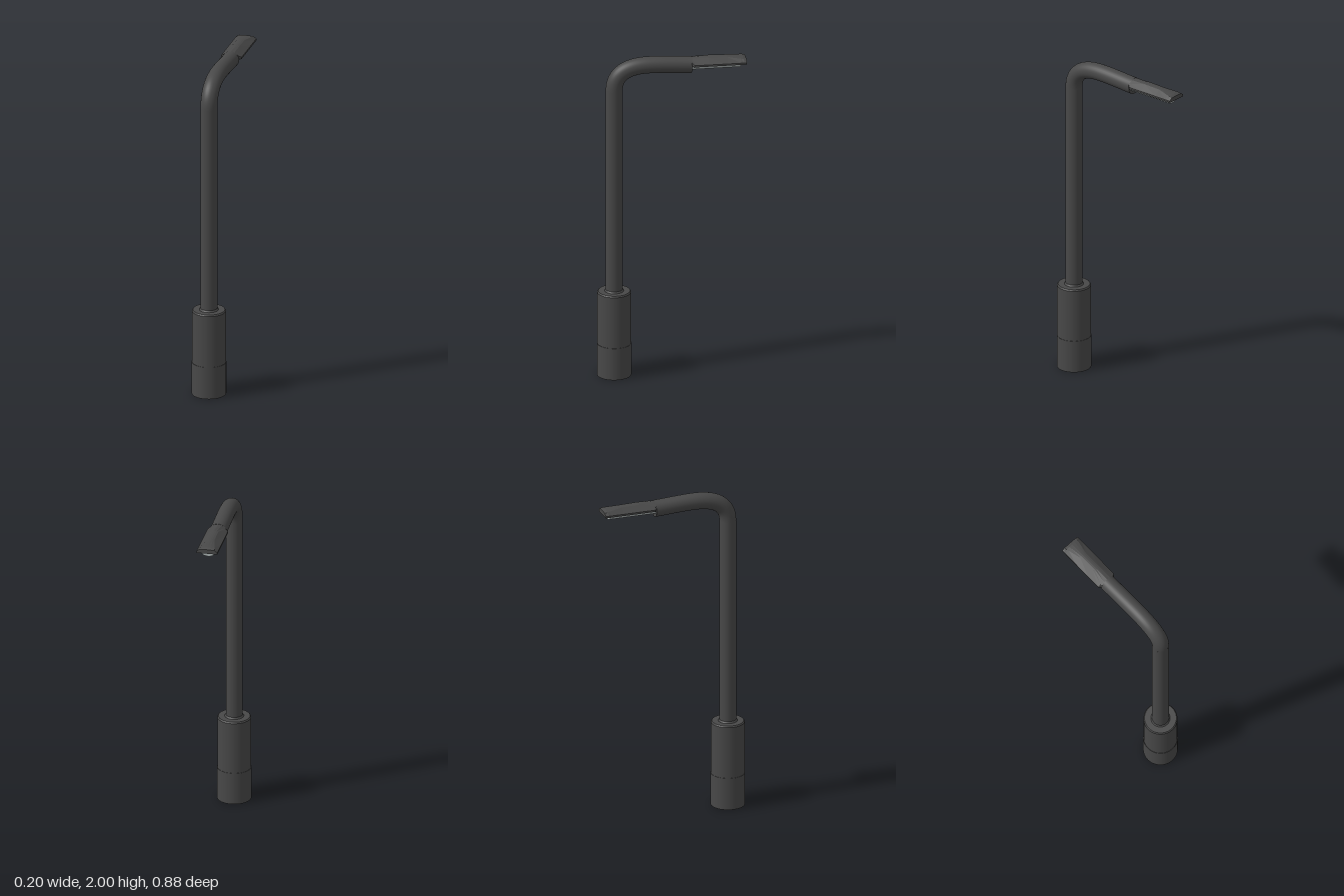
import * as THREE from 'three';

const POLE_Z = 0.34;

export function createModel() {
  const group = new THREE.Group();
  const metal = new THREE.MeshStandardMaterial({ color: 0x484848 });
  metal.name = 'dark metal';
  const glass = new THREE.MeshStandardMaterial({ color: 0xaab2b2 });
  glass.name = 'pale lens';

  const add = (name, geometry, material = metal) => {
    const mesh = new THREE.Mesh(geometry, material);
    mesh.name = name;
    group.add(mesh);
    return mesh;
  };

  // Upright drum between two heights on the pole axis
  const drum = (name, rBottom, rTop, y0, y1) =>
    add(name, new THREE.CylinderGeometry(rTop, rBottom, y1 - y0, 40))
      .position.set(0, (y0 + y1) / 2, POLE_Z);

  // Base, with a slightly wider foot and bevelled top
  drum('baseFoot', 0.102, 0.102, 0, 0.2);
  drum('baseSleeve', 0.1, 0.1, 0.2, 0.522);
  drum('baseBevel', 0.1, 0.094, 0.522, 0.53);
  drum('poleCollar', 0.057, 0.05, 0.53, 0.54);
  drum('pole', 0.05, 0.05, 0.53, 1.8);

  // Bend and arm as one swept tube
  const v = (y, z) => new THREE.Vector3(0, y, z);
  const path = new THREE.CurvePath();
  path.add(new THREE.CubicBezierCurve3(v(1.8, POLE_Z), v(1.9, POLE_Z), v(1.95, 0.27), v(1.95, 0.13)));
  path.add(new THREE.CubicBezierCurve3(v(1.95, 0.13), v(1.95, 0.04), v(1.941, -0.04), v(1.938, -0.12)));
  add('arm', new THREE.TubeGeometry(path, 48, 0.05, 32));
  const armEnd = add('armEnd', new THREE.CircleGeometry(0.05, 32));
  armEnd.position.set(0, 1.938, -0.12);
  armEnd.rotation.y = Math.PI;

  add('lampHousing', housingGeometry());

  // Rounded lens in the underside recess
  const lens = new THREE.CylinderGeometry(1, 1, 0.29, 24);
  lens.rotateX(Math.PI / 2);
  lens.scale(0.042, 0.027, 1);
  add('lens', lens, glass).position.set(0, 1.937, -0.265);

  return group;
}

// Faceted shell lofted along z, waisted on top and hollow underneath
function housingGeometry() {
  // z, edge half width, ridge half width, top y, shoulder y, ceiling y
  const stations = [
    [-0.118, 0.05, 0.045, 1.986, 1.966, 1.942],
    [-0.132, 0.0625, 0.043, 1.987, 1.967, 1.942],
    [-0.132, 0.0625, 0.043, 1.987, 1.967, 1.957],
    [-0.22, 0.0625, 0.022, 1.988, 1.984, 1.957],
    [-0.33, 0.0625, 0.022, 1.985, 1.981, 1.957],
    [-0.41, 0.0625, 0.04, 1.977, 1.972, 1.957],
    [-0.425, 0.0625, 0.044, 1.975, 1.97, 1.957],
    [-0.425, 0.0625, 0.044, 1.975, 1.97, 1.942],
    [-0.443, 0.0625, 0.045, 1.968, 1.966, 1.942],
  ];
  const rings = stations.map(([z, edge, ridge, top, shoulder, ceiling]) => {
    const half = [
      [ridge / 2, top - (top - shoulder) * 0.25],
      [ridge, shoulder],
      [edge, 1.953],
      [edge, 1.942],
      [edge - 0.01, 1.942],
      [edge - 0.013, ceiling],
    ];
    const mirrored = half.map(([x, y]) => [-x, y]).reverse();
    return [[0, top], ...half, [0, ceiling], ...mirrored]
      .map(([x, y]) => [x, y, z]);
  });

  const positions = [];
  const tri = (...corners) => corners.forEach((p) => positions.push(...p));
  const n = rings[0].length;
  for (let i = 0; i < rings.length - 1; i++) {
    for (let j = 0; j < n; j++) {
      const k = (j + 1) % n;
      tri(rings[i][j], rings[i][k], rings[i + 1][k]);
      tri(rings[i][j], rings[i + 1][k], rings[i + 1][j]);
    }
  }
  // End caps
  const first = rings[0];
  const last = rings[rings.length - 1];
  for (let j = 1; j < n - 1; j++) {
    tri(first[0], first[j + 1], first[j]);
    tri(last[0], last[j], last[j + 1]);
  }

  const geometry = new THREE.BufferGeometry();
  geometry.setAttribute('position', new THREE.Float32BufferAttribute(positions, 3));
  geometry.computeVertexNormals();
  return geometry;
}
